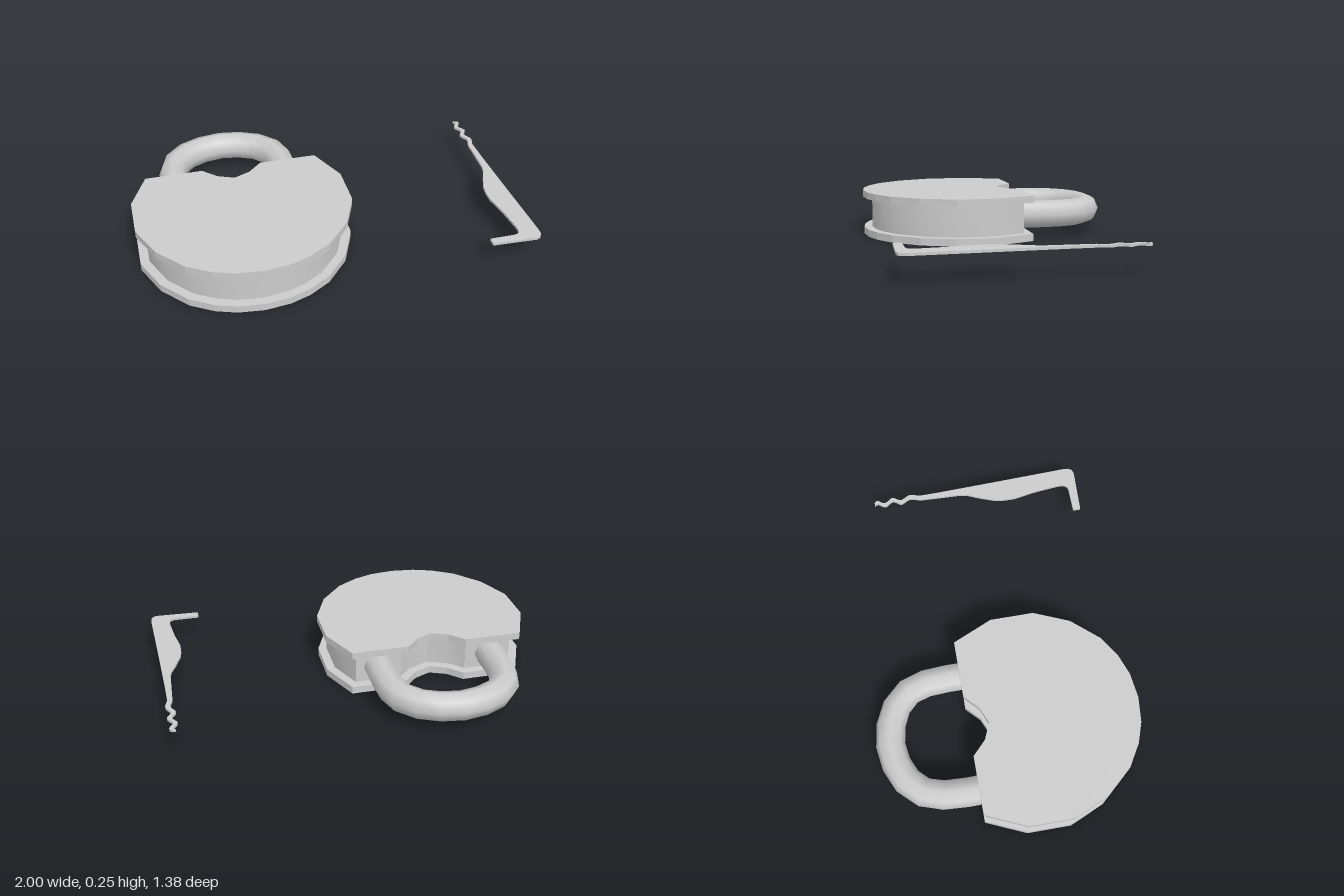
import * as THREE from 'three';
import { toCreasedNormals } from 'three/addons/utils/BufferGeometryUtils.js';

const material = new THREE.MeshStandardMaterial({ color: 0xcccccc });

// Upright slab from an outline in (x, z), spanning y0 to y1
function slab(name, points, y0, y1, crease) {
  const shape = new THREE.Shape(points);
  let geo = new THREE.ExtrudeGeometry(shape, { depth: y1 - y0, bevelEnabled: false });
  geo.rotateX(Math.PI / 2).translate(0, y1, 0);
  if (crease) geo = toCreasedNormals(geo, crease);
  const mesh = new THREE.Mesh(geo, material);
  mesh.name = name;
  return mesh;
}

// Move every edge of a closed outline inwards by d, with mitred corners
function inset(points, d) {
  const n = points.length;
  return points.map((p, i) => {
    const a = p.clone().sub(points[(i + n - 1) % n]).normalize();
    const b = points[(i + 1) % n].clone().sub(p).normalize();
    const na = new THREE.Vector2(-a.y, a.x), nb = new THREE.Vector2(-b.y, b.x);
    const m = na.clone().add(nb).normalize();
    return p.clone().addScaledVector(m, d / m.dot(na));
  });
}

// Half outline of the lock body, from the notch round to the front
const half = [
  [0, -0.094], [0.086, -0.13], [0.158, -0.2], [0.46, -0.2], [0.553, 0.01], [0.553, 0.24],
  [0.474, 0.425], [0.351, 0.565], [0.237, 0.635], [0.132, 0.672], [0, 0.687],
];

function createLock() {
  const lock = new THREE.Group();
  lock.name = 'padlock';
  const mirrored = half.slice(1, -1).reverse().map(([x, z]) => [-x, z]);
  const outline = [...half, ...mirrored].map(([x, z]) => new THREE.Vector2(x, z));

  lock.add(slab('bottomPlate', inset(outline, 0.004), 0, 0.04));
  lock.add(slab('core', inset(outline, 0.05), 0.04, 0.212, 0.6));
  lock.add(slab('topPlate', outline, 0.212, 0.25));

  // Shackle: eight-sided tube bent through mirrored points
  const leg = [[0.308, -0.08], [0.31, -0.26], [0.303, -0.38], [0.272, -0.478], [0.2, -0.553], [0.105, -0.596]];
  const path = [...leg, [0, -0.612], ...leg.slice().reverse().map(([x, z]) => [-x, z])];
  const curve = new THREE.CatmullRomCurve3(path.map(([x, z]) => new THREE.Vector3(x, 0.127, z)));
  curve.getPointAt = (t, target) => curve.getPoint(t, target);
  curve.getTangentAt = (t, target) => curve.getTangent(t, target);
  const shackle = new THREE.Mesh(new THREE.TubeGeometry(curve, path.length - 1, 0.076, 8), material);
  shackle.name = 'shackle';
  lock.add(shackle);

  lock.position.x = -0.447;
  return lock;
}

function createPick() {
  // Wavy tip, offset to both sides of its centre line
  const wave = new THREE.SplineCurve([
    [0.957, -0.25], [0.971, -0.307], [0.948, -0.358], [0.971, -0.404],
    [0.946, -0.45], [0.968, -0.49], [0.957, -0.508],
  ].map(([x, z]) => new THREE.Vector2(x, z)));
  const left = [], right = [];
  for (let i = 0; i <= 30; i++) {
    const p = wave.getPoint(i / 30);
    const w = 0.013 - 0.003 * i / 30;
    left.push(new THREE.Vector2(p.x - w, p.y));
    right.push(new THREE.Vector2(p.x + w, p.y));
  }
  // Long blade with a belly and a bent foot
  const blade = [
    [0.972, -0.13], [0.983, 0.19], [0.998, 0.59], [0.996, 0.62], [0.984, 0.64], [0.963, 0.648],
    [0.73, 0.638], [0.73, 0.597], [0.865, 0.597], [0.884, 0.59], [0.895, 0.572], [0.897, 0.54],
    [0.882, 0.40], [0.86, 0.28], [0.861, 0.22], [0.868, 0.17], [0.9, 0.083], [0.928, 0.02], [0.936, -0.02],
  ].map(([x, z]) => new THREE.Vector2(x, z));
  return slab('lockPick', [...right.reverse(), ...blade, ...left], 0.128, 0.141, 0.5);
}

export function createModel() {
  const model = new THREE.Group();
  model.name = 'padlockAndPick';
  model.add(createLock(), createPick());
  return model;
}
